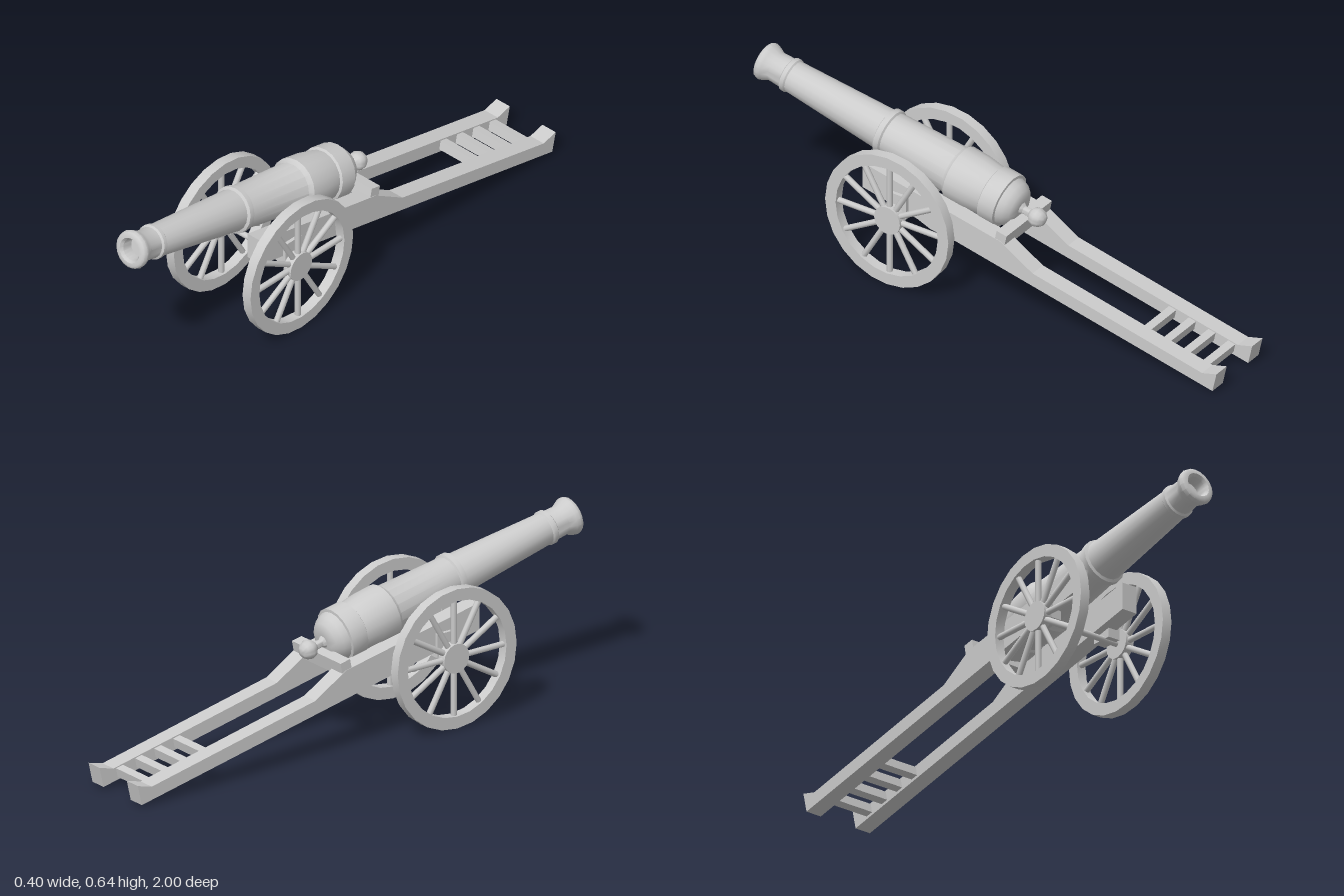
import * as THREE from 'three';
import { toCreasedNormals } from 'three/addons/utils/BufferGeometryUtils.js';

const SLOPE = 0.205; // pitch shared by barrel and carriage

export function createModel() {
  const root = new THREE.Group();
  const mat = new THREE.MeshStandardMaterial({ color: 0xcccccc });

  const add = (name, geo, x = 0, y = 0, z = 0, parent = root) => {
    const m = new THREE.Mesh(geo, mat);
    m.name = name;
    m.position.set(x, y, z);
    parent.add(m);
    return m;
  };
  const box = (w, h, d) => new THREE.BoxGeometry(w, h, d);

  // Barrel: [distance behind muzzle, radius], from breech knob to bore floor
  const profile = [
    [1.2, 0], [1.195, 0.018], [1.182, 0.03], [1.165, 0.035], [1.148, 0.03], [1.135, 0.015],
    [1.11, 0.014], [1.1, 0.022], [1.1, 0.045], [1.09, 0.065], [1.07, 0.082], [1.047, 0.09],
    [1.045, 0.1], [0.98, 0.1], [0.975, 0.092], [0.91, 0.1], [0.835, 0.101], [0.82, 0.088],
    [0.55, 0.078], [0.545, 0.085], [0.525, 0.085], [0.52, 0.075],
    [0.13, 0.058], [0.125, 0.063], [0.11, 0.063], [0.105, 0.056], [0.055, 0.054],
    [0.03, 0.066], [0.017, 0.07], [0.005, 0.066], [0, 0.058], [0, 0.046],
    [0.01, 0.038], [0.05, 0.037], [0.05, 0],
  ].map(([s, r]) => new THREE.Vector2(r, -s));
  const barrel = add('barrel', toCreasedNormals(new THREE.LatheGeometry(profile, 18), 0.7), 0, 0.577, 0.985);
  barrel.rotation.x = Math.PI / 2 - 0.2;

  // Carriage cheeks running back into the trail: side outline as (z, y)
  const outline = [
    [0.475, 0.313], [0.475, 0.413], [-0.1, 0.298], [-0.233, 0.217],
    [-0.94, 0.067], [-1, 0.083], [-0.983, 0.009],
  ].map(([z, y]) => new THREE.Vector2(z, y));
  const cheekGeo = new THREE.ExtrudeGeometry(new THREE.Shape(outline), { depth: 0.063, bevelEnabled: false });
  cheekGeo.rotateY(-Math.PI / 2);
  cheekGeo.translate(0.0315, 0, 0);

  // Wheel rim: square-section ring, turned about x
  const W = 0.038, R = 0.257, RI = 0.213;
  const rimGeo = toCreasedNormals(new THREE.LatheGeometry([
    [RI, -W / 2], [R, -W / 2], [R, W / 2], [RI, W / 2], [RI, -W / 2],
  ].map(([r, y]) => new THREE.Vector2(r, y)), 24), 0.6);
  rimGeo.rotateZ(Math.PI / 2);
  const hubGeo = toCreasedNormals(new THREE.CylinderGeometry(0.054, 0.054, 0.034, 18), 0.6);
  hubGeo.rotateZ(Math.PI / 2);
  const spokeGeo = new THREE.CylinderGeometry(0.011, 0.011, 0.18, 8);
  spokeGeo.translate(0, 0.13, 0);

  for (const side of [1, -1]) {
    const label = side > 0 ? 'left' : 'right';
    add(label + 'Cheek', cheekGeo, side * 0.1085);

    const wheel = new THREE.Group();
    wheel.name = label + 'Wheel';
    wheel.position.set(side * 0.181, R, 0.334);
    root.add(wheel);
    add('rim', rimGeo, 0, 0, 0, wheel);
    add('hub', hubGeo, 0, 0, 0, wheel);
    for (let i = 0; i < 12; i++) {
      add('spoke', spokeGeo, 0, 0, 0, wheel).rotation.x = (i * Math.PI) / 6;
    }

    // Axle bracket: block under the cheek with a plate up its outer face
    add(label + 'AxleBlock', box(0.048, 0.034, 0.08), side * 0.129, 0.273, 0.325);
    add(label + 'AxlePlate', box(0.014, 0.087, 0.08), side * 0.146, 0.2995, 0.325);
  }

  // Axle
  const axleGeo = new THREE.CylinderGeometry(0.011, 0.011, 0.35, 12);
  axleGeo.rotateZ(Math.PI / 2);
  add('axle', axleGeo, 0, R, 0.334);

  // Transom across the cheeks behind the breech
  add('transom', box(0.276, 0.053, 0.042), 0, 0.305, -0.097).rotation.x = -SLOPE;

  // Ladder rungs between the trail ends
  for (let i = 0; i < 4; i++) {
    const z = -0.665 - i * 0.082;
    add('rung', box(0.16, 0.034, 0.03), 0, 0.103 + (z + 0.665) * 0.208, z).rotation.x = -SLOPE;
  }

  return root;
}
